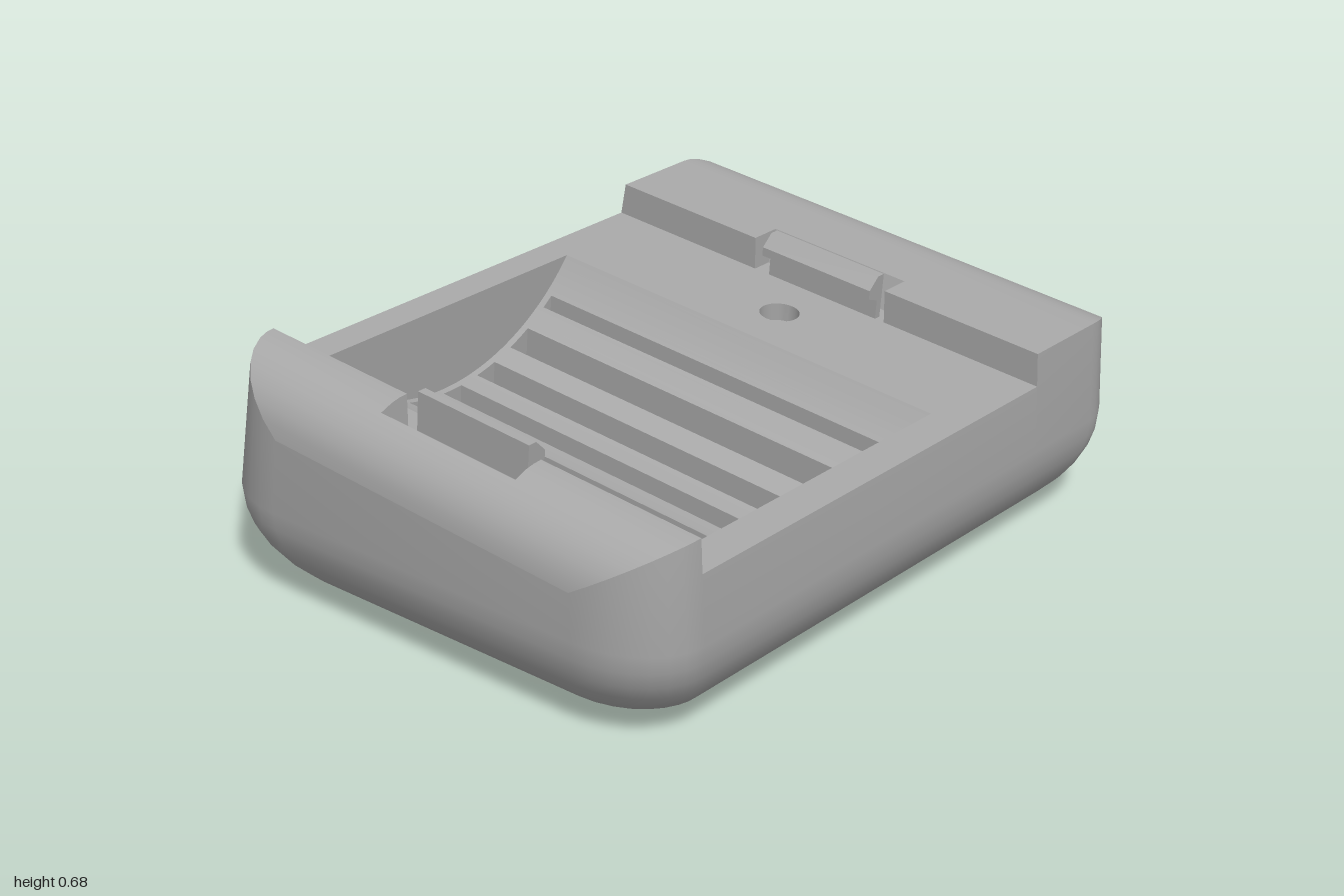
import * as THREE from 'three';
import { toCreasedNormals } from 'three/addons/utils/BufferGeometryUtils.js';

const SLOPE = 0.084, RAIL = 0.623, STEP = 0.092, DECK = RAIL - STEP;
const ANGLES = [90, 82, 74, 62, 50, 38, 26, 13, 0].map(a => a * Math.PI / 180);
const XL = -0.81, XR = 0.55;

// collects quads into one geometry
class Quads {
  constructor() { this.pos = []; }
  tri(a, b, c) {
    const [A, B, C] = [a, b, c].map(p => new THREE.Vector3(...p));
    if (B.sub(A).cross(C.sub(A)).length() > 1e-8) this.pos.push(...a, ...b, ...c);
  }
  quad(a, b, c, d) { this.tri(a, b, c); this.tri(a, c, d); }
  build(angle = 0.6) {
    const g = new THREE.BufferGeometry();
    g.setAttribute('position', new THREE.Float32BufferAttribute(this.pos, 3));
    return toCreasedNormals(g, angle);
  }
}

// sloped deck frame: y = 0 lies on the deck
const tilt = ([x, y, z]) => [x, DECK + y - SLOPE * z, z + SLOPE * y];
function tiltGeometry(g) {
  const p = g.attributes.position;
  for (let i = 0; i < p.count; i++) p.setXYZ(i, ...tilt([p.getX(i), p.getY(i), p.getZ(i)]));
  g.computeVertexNormals();
  return g;
}

// top rim point of a plan position, with the walls leaning inward
function rim(x, z, drop) {
  let y = 0.6, zz = z;
  for (let i = 0; i < 5; i++) {
    zz = z * (1 - (z < 0 ? 0.26 : 0.05) * (y - 0.28));
    y = RAIL - drop - SLOPE * zz;
  }
  return [x, y, zz];
}
const column = (x, z, drop) => ({ x, z, drop, top: rim(x, z, drop) });
const corner = (sx, sz, a) =>
  column(sx * (0.81 + 0.19 * Math.cos(a)), sz * (0.51 + 0.25 * Math.sin(a)), 0.17 * (1 - Math.sin(a)));

// rounded underside and side walls
function shellGeometry() {
  const q = new Quads(), up = [...ANGLES].reverse();
  const cols = [
    ...ANGLES.map(a => corner(1, 1, a)), ...up.map(a => corner(1, -1, a)),
    column(XR, -0.76, 0), column(XR, -0.76, STEP), column(XL, -0.76, STEP),
    ...ANGLES.map(a => corner(-1, -1, a)), ...up.map(a => corner(-1, 1, a)),
    column(XL, 0.76, STEP), column(XR, 0.76, STEP), column(XR, 0.76, 0)];
  const N = 9;
  const rows = cols.map(c => {
    const r = [];
    for (let i = 0; i <= N; i++) {
      const a = i / N * Math.PI / 2, d = 0.28 * (1 - Math.sin(a));
      r.push([c.x * (1 - d), 0.28 * (1 - Math.cos(a)), c.z * (1 - d / 0.76)]);
    }
    return [...r, c.top];
  });
  rows.forEach((r, i) => {
    const n = rows[(i + 1) % rows.length];
    q.tri([0, 0, 0], n[0], r[0]);
    for (let k = 0; k <= N; k++) q.quad(r[k], n[k], n[k + 1], r[k + 1]);
  });
  return q.build();
}

// raised side rail with a recess for the clip
function railGeometry(side) {
  const q = new Quads(), Z0 = -0.2, Z1 = 0.25;
  const add = (a, b, c, d) => side > 0 ? q.quad(a, b, c, d) : q.quad(d, c, b, a);
  const inner = side > 0 ? XR : XL, outer = side > 0 ? 0.64 : -0.9;
  const pairs = ANGLES.map(a => [corner(side, 1, a), corner(side, -1, a)]);
  if (side > 0) pairs.unshift(...[XR, 0.64].map(x => [column(x, 0.76, 0), column(x, -0.76, 0)]));
  const at = (c, z) => [c.x, RAIL - c.drop - SLOPE * z, z];
  const low = (x, z) => [x, DECK - SLOPE * z, z];
  for (let i = 0; i + 1 < pairs.length; i++) {
    const [f0, b0] = pairs[i], [f1, b1] = pairs[i + 1];
    if (Math.abs(f1.x) > Math.abs(outer) + 0.005) {
      add(f0.top, f1.top, b1.top, b0.top);
      continue;
    }
    add(f0.top, f1.top, at(f1, Z1), at(f0, Z1));
    add(at(f0, Z0), at(f1, Z0), b1.top, b0.top);
    add(low(f0.x, Z0), low(f1.x, Z0), at(f1, Z0), at(f0, Z0));
    add(low(f1.x, Z1), low(f0.x, Z1), at(f0, Z1), at(f1, Z1));
    if (Math.abs(pairs[i + 2][0].x) > Math.abs(outer) + 0.005) {
      // recess floor and slanted outer wall
      const foot = f1.x - side * 0.03;
      add(low(inner, Z1), low(foot, Z1), low(foot, Z0), low(inner, Z0));
      add(low(foot, Z1), at(f1, Z1), at(f1, Z0), low(foot, Z0));
    }
  }
  // step down to the deck, either side of the recess
  const [f, b] = pairs[0], df = rim(inner, 0.76, STEP), db = rim(inner, -0.76, STEP);
  add(df, f.top, at(f, Z1), low(inner, Z1));
  add(low(inner, Z0), at(f, Z0), b.top, db);
  return q.build(0.5);
}

// deck plate with openings for the trough and the screw hole
function deckGeometry() {
  const poly = (pts) => pts.map(([x, z]) => new THREE.Vector2(x, -z));
  const zf = rim(0, 0.76, STEP)[2], zb = rim(0, -0.76, STEP)[2];
  const s = new THREE.Shape(poly([[XL, zf], [XR, zf], [XR, zb], [XL, zb]]));
  s.holes.push(new THREE.Path(poly([[-0.74, -0.61], [0.22, -0.61], [0.22, 0.65], [-0.74, 0.65],
    [-0.74, 0.61], [-0.77, 0.61], [-0.77, 0.41], [-0.74, 0.41],
    [-0.74, -0.4], [-0.77, -0.4], [-0.77, -0.58], [-0.74, -0.58]])));
  s.holes.push(new THREE.Path().absarc(0.385, -0.02, 0.055, 0, Math.PI * 2, true));
  return tiltGeometry(new THREE.ShapeGeometry(s, 16).rotateX(-Math.PI / 2));
}

// curved trough with slots and pockets: [x0, x1, z0, z1, floor]
function troughGeometry() {
  const q = new Quads(), ZB = -0.61, ZF = 0.65, R = 0.586;
  const quad = (...p) => q.quad(...p.map(tilt));
  const arc = x => x <= -0.739 || x >= 0.219 ? 0
    : Math.min(0, 0.336 - Math.sqrt(R * R - (x + 0.26) ** 2));
  const cuts = [[-0.77, -0.61, -0.58, -0.4, arc(-0.61)], [-0.77, -0.61, 0.41, 0.61, arc(-0.61)],
    [-0.66, -0.6, -0.32, 0.33, arc(-0.6)]];
  for (let i = 0; i < 6; i++) {
    const x = -0.54 + i * 0.13;
    cuts.push([x, i < 5 ? x + 0.068 : x + 0.03, -0.59, 0.58, -0.31]);
  }
  const marks = [...new Set([-0.74, 0.22, ...cuts.flatMap(c => [c[0], c[1]])])].sort((a, b) => a - b);
  for (let m = 0; m + 1 < marks.length; m++) {
    const n = Math.max(1, Math.ceil((marks[m + 1] - marks[m]) / 0.025));
    for (let k = 0; k < n; k++) {
      const a = THREE.MathUtils.lerp(marks[m], marks[m + 1], k / n);
      const b = THREE.MathUtils.lerp(marks[m], marks[m + 1], (k + 1) / n);
      const ya = arc(a), yb = arc(b), inBasin = a > -0.741;
      const floor = (z0, z1, y0, y1) => quad([a, y0, z1], [b, y1, z1], [b, y1, z0], [a, y0, z0]);
      let z = ZB;
      for (const [x0, x1, z0, z1, f] of cuts) {
        if (a < x0 - 1e-6 || b > x1 + 1e-6) continue;
        if (inBasin) floor(z, z0, ya, yb);
        floor(z0, z1, f, f);
        quad([a, f, z0], [b, f, z0], [b, yb, z0], [a, ya, z0]);
        quad([b, f, z1], [a, f, z1], [a, ya, z1], [b, yb, z1]);
        z = z1;
      }
      if (!inBasin) continue;
      floor(z, ZF, ya, yb);
      quad([a, ya, ZB], [b, yb, ZB], [b, 0, ZB], [a, 0, ZB]);
      quad([b, yb, ZF], [a, ya, ZF], [a, 0, ZF], [b, 0, ZF]);
    }
  }
  for (const [x0, x1, z0, z1, f] of cuts) {
    quad([x0, f, z1], [x0, f, z0], [x0, arc(x0), z0], [x0, arc(x0), z1]);
    quad([x1, f, z0], [x1, f, z1], [x1, arc(x1), z1], [x1, arc(x1), z0]);
  }
  return q.build(0.4);
}

// hooked latch leaning over the deck
function clipGeometry(side) {
  let pts = [[0.57, -0.05], [0.57, 0.128], [0.545, 0.128], [0.512, 0.095], [0.512, 0.07], [0.55, 0.055], [0.55, -0.05]];
  if (side < 0) pts = pts.map(([x, y]) => [-0.26 - x, y]).reverse();
  const s = new THREE.Shape(pts.map(p => new THREE.Vector2(...p)));
  const g = new THREE.ExtrudeGeometry(s, { depth: 0.37, bevelEnabled: false });
  return tiltGeometry(g.translate(0, 0, -0.15));
}

function screwHoleGeometry() {
  const pts = [[0.055, 0], [0.055, -0.05], [0.03, -0.05], [0.03, -0.09], [0, -0.09]];
  const g = new THREE.LatheGeometry(pts.map(p => new THREE.Vector2(...p)), 32);
  return toCreasedNormals(tiltGeometry(g.translate(0.385, 0, 0.02)), 0.5);
}

export function createModel() {
  const group = new THREE.Group();
  group.name = 'cradle';
  const grey = new THREE.MeshStandardMaterial({ color: 0xa8a8a8, side: THREE.DoubleSide });
  grey.name = 'grey plastic';
  const add = (name, geometry) => {
    const mesh = new THREE.Mesh(geometry, grey);
    mesh.name = name;
    group.add(mesh);
  };
  add('shell', shellGeometry());
  add('deck', deckGeometry());
  add('trough', troughGeometry());
  add('screwHole', screwHoleGeometry());
  for (const [label, side] of [['left', 1], ['right', -1]]) {
    add(label + 'Rail', railGeometry(side));
    add(label + 'Clip', clipGeometry(side));
  }
  return group;
}
